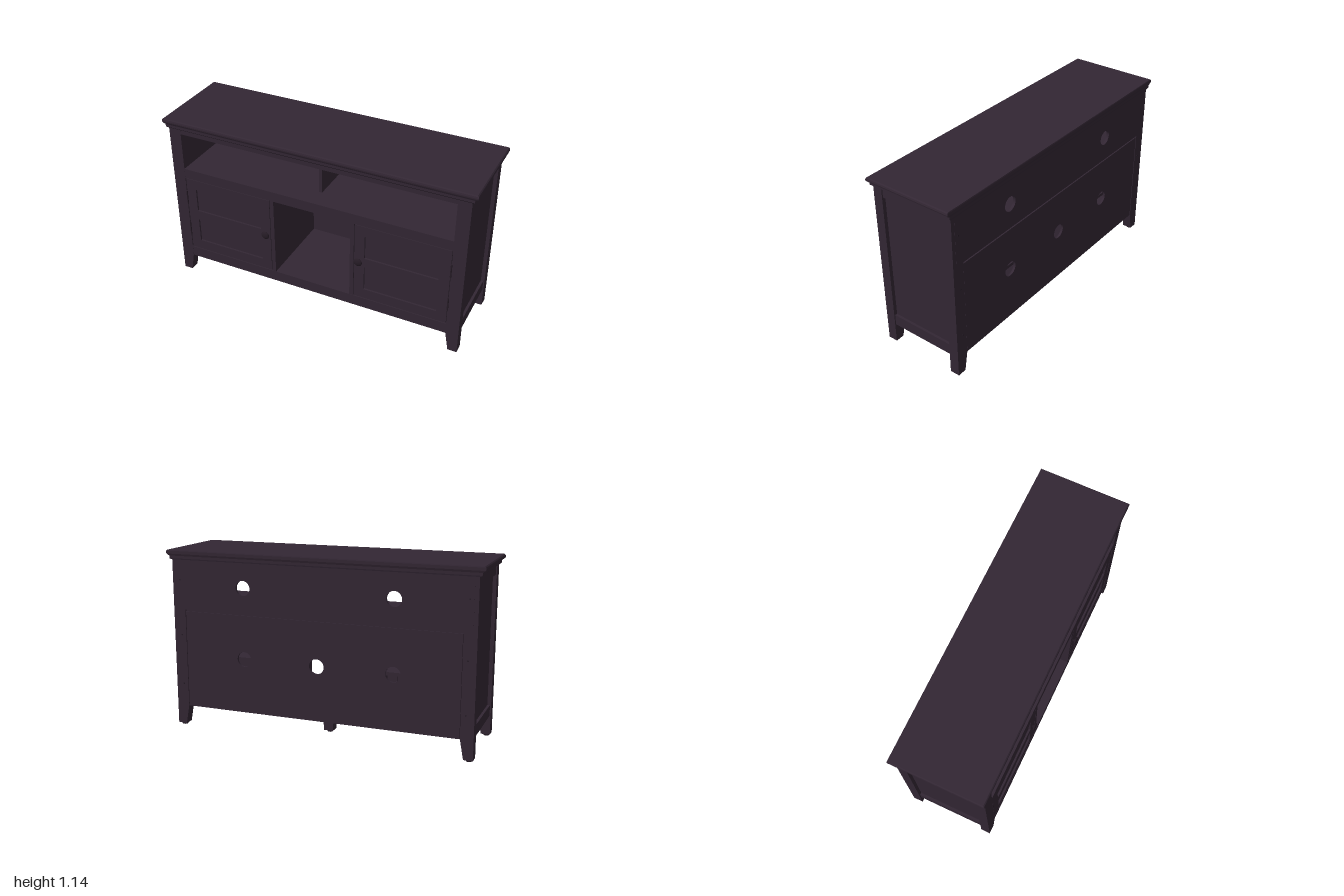
import * as THREE from 'three';

const wood = new THREE.MeshStandardMaterial({ name: 'dark espresso wood', color: 0x322633 });
const metal = new THREE.MeshStandardMaterial({ name: 'dark metal', color: 0x261c26 });

export function createModel() {
  const root = new THREE.Group();
  root.name = 'mediaConsole';

  const add = (name, geometry, material = wood) => {
    const m = new THREE.Mesh(geometry, material);
    m.name = name;
    root.add(m);
    return m;
  };
  // Box given by its limits on each axis
  const box = (name, x0, x1, y0, y1, z0, z1, material) => {
    const m = add(name, new THREE.BoxGeometry(Math.abs(x1 - x0), y1 - y0, z1 - z0), material);
    m.position.set((x0 + x1) / 2, (y0 + y1) / 2, (z0 + z1) / 2);
    return m;
  };
  const rect = (target, x0, x1, y0, y1) => {
    target.moveTo(x0, y0).lineTo(x1, y0).lineTo(x1, y1).lineTo(x0, y1).closePath();
    return target;
  };
  // Flat board in the xy plane from z0 to z1, with holes
  const board = (name, shape, z0, z1) => {
    const g = new THREE.ExtrudeGeometry(shape, { depth: z1 - z0, bevelEnabled: false, curveSegments: 24 });
    return add(name, g.translate(0, 0, z0));
  };
  const roundHole = (x, y) => new THREE.Path().absarc(x, y, 0.047, 0, Math.PI * 2, true);

  // Table top: rectangular rings stacked upward [half width, front z, back z, y]
  const rings = [
    [0.972, 0.275, -0.284, 1.077], [0.98, 0.281, -0.286, 1.084], [0.98, 0.281, -0.286, 1.1],
    [0.99, 0.284, -0.288, 1.106], [0.998, 0.287, -0.29, 1.112], [1, 0.288, -0.29, 1.12],
    [0.998, 0.286, -0.29, 1.13], [0.992, 0.28, -0.288, 1.136],
  ];
  const corners = rings.flatMap(([w, f, b, y]) => [[-w, y, f], [w, y, f], [w, y, b], [-w, y, b]]);
  const index = [0, 2, 1, 0, 3, 2];
  for (let r = 0; r < rings.length - 1; r++) {
    for (let k = 0; k < 4; k++) {
      const a = r * 4 + k, b = r * 4 + (k + 1) % 4;
      index.push(a, b, b + 4, a, b + 4, a + 4);
    }
  }
  const t = (rings.length - 1) * 4;
  index.push(t, t + 1, t + 2, t, t + 2, t + 3);
  let top = new THREE.BufferGeometry();
  top.setAttribute('position', new THREE.Float32BufferAttribute(corners.flat(), 3));
  top.setIndex(index);
  top = top.toNonIndexed();
  top.computeVertexNormals();
  add('tableTop', top);

  // Front rails, shelves and floor
  box('topRail', -0.885, 0.885, 1.045, 1.077, 0.225, 0.269);
  box('middleRail', -0.885, 0.885, 0.735, 0.8, 0.24, 0.269);
  box('middleShelf', -0.93, 0.93, 0.765, 0.8, -0.262, 0.24);
  box('bottomRail', -0.885, 0.885, 0.135, 0.205, 0.24, 0.269);
  box('floor', -0.93, 0.93, 0.142, 0.205, -0.262, 0.24);
  box('upperDivider', -0.01, 0.01, 0.8, 1.077, -0.262, 0.14);

  // Back: two boards with cable holes and a groove between them
  const upper = rect(new THREE.Shape(), -0.94, 0.94, 0.765, 1.077);
  upper.holes.push(roundHole(-0.48, 0.922), roundHole(0.48, 0.922));
  board('upperBack', upper, -0.279, -0.262);
  const lower = rect(new THREE.Shape(), -0.882, 0.882, 0.135, 0.752);
  for (const x of [-0.48, 0, 0.48]) lower.holes.push(roundHole(x, 0.477));
  board('lowerBack', lower, -0.276, -0.262);
  box('backGroove', -0.885, 0.885, 0.75, 0.766, -0.268, -0.262);

  // Middle support leg
  const middle = new THREE.Shape();
  middle.moveTo(-0.03, 0.013).lineTo(0.03, 0.013).lineTo(0.037, 0.142).lineTo(-0.037, 0.142).closePath();
  board('middleLeg', middle, -0.08, -0.02);

  const footPad = (x, z) => {
    const pad = add('footPad', new THREE.CylinderGeometry(0.02, 0.017, 0.014, 16), metal);
    pad.position.set(x, 0.007, z);
  };
  footPad(0, -0.05);

  // Knob profile, turned about its axis
  const knob = [[0, 0], [0.014, 0], [0.01, 0.005], [0.009, 0.011], [0.024, 0.014], [0.027, 0.018],
    [0.022, 0.023], [0.012, 0.026], [0, 0.027]].map(([x, y]) => new THREE.Vector2(x, y));

  for (const s of [-1, 1]) {
    const side = s > 0 ? 'left' : 'right';
    const xs = (a, b) => [Math.min(s * a, s * b), Math.max(s * a, s * b)];

    // Corner posts, tapered on the inner side below the case
    for (const [name, z0, z1] of [['FrontLeg', 0.21, 0.27], ['BackLeg', -0.278, -0.217]]) {
      const leg = new THREE.Shape();
      leg.moveTo(s * 0.908, 0.013).lineTo(s * 0.965, 0.013).lineTo(s * 0.965, 1.08)
        .lineTo(s * 0.885, 1.08).lineTo(s * 0.885, 0.137).closePath();
      board(side + name, leg, z0, z1);
      footPad(s * 0.936, (z0 + z1) / 2);
    }

    // Framed side
    box(side + 'SidePanel', s * 0.885, s * 0.942, 0.15, 1.077, -0.22, 0.212);
    box(side + 'SideTopRail', s * 0.925, s * 0.958, 1.017, 1.077, -0.22, 0.212);
    box(side + 'SideBottomRail', s * 0.925, s * 0.958, 0.135, 0.205, -0.22, 0.212);

    // Centre cubby wall and the shelf behind the door
    box(side + 'CubbyWall', s * 0.256, s * 0.281, 0.2, 0.768, -0.262, 0.268);
    box(side + 'CabinetShelf', s * 0.28, s * 0.89, 0.462, 0.482, -0.25, 0.2);

    // Door frame with two recessed panels
    const door = rect(new THREE.Shape(), ...xs(0.285, 0.881), 0.209, 0.731);
    door.holes.push(rect(new THREE.Path(), ...xs(0.35, 0.815), 0.275, 0.44));
    door.holes.push(rect(new THREE.Path(), ...xs(0.35, 0.815), 0.505, 0.665));
    board(side + 'DoorFrame', door, 0.236, 0.268);
    box(side + 'DoorPanel', s * 0.345, s * 0.82, 0.27, 0.67, 0.24, 0.256);

    const k = add(side + 'Knob', new THREE.LatheGeometry(knob, 24), metal);
    k.rotation.x = Math.PI / 2;
    k.position.set(s * 0.315, 0.477, 0.264);

    // Hinges and back screws
    for (const y of [0.355, 0.595]) {
      const h = add(side + 'Hinge', new THREE.CylinderGeometry(0.005, 0.005, 0.09, 10), metal);
      h.position.set(s * 0.884, y, 0.269);
    }
    for (const y of [0.28, 0.6, 0.95]) {
      const screw = add(side + 'BackScrew', new THREE.CylinderGeometry(0.005, 0.005, 0.003, 10), metal);
      screw.rotation.x = Math.PI / 2;
      screw.position.set(s * 0.915, y, -0.2785);
    }
  }
  return root;
}
